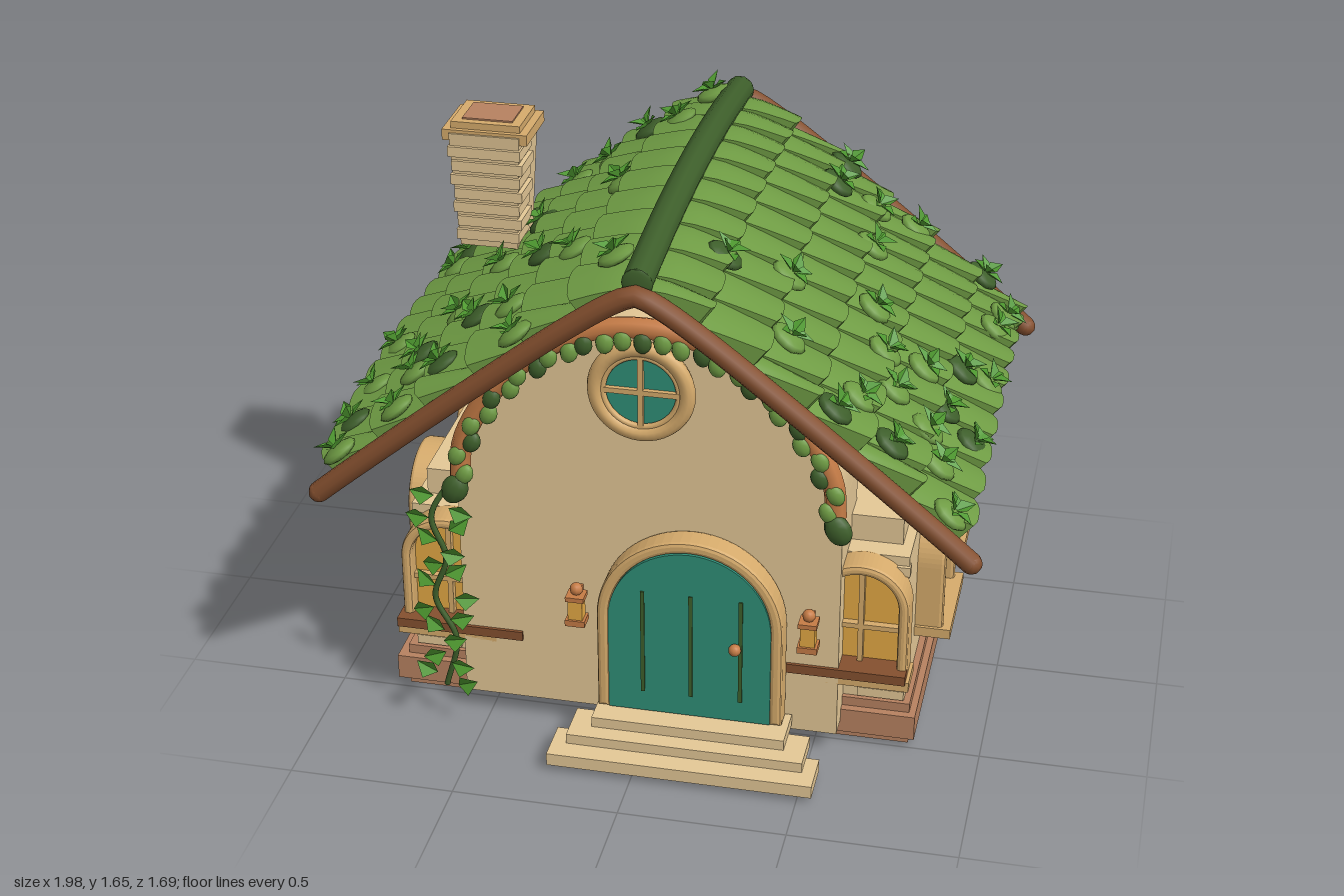
import * as THREE from 'three';
import { mergeGeometries } from 'three/addons/utils/BufferGeometryUtils.js';

const mat = (name, color, side = THREE.FrontSide) => {
  const m = new THREE.MeshStandardMaterial({ color, side });
  m.name = name;
  return m;
};

export function createModel() {
  const wall = mat('plaster', 0xe4c896), tan = mat('light wood', 0xd6ab6c), brown = mat('dark wood', 0x85502f);
  const clay = mat('clay base', 0xb78260), teal = mat('teal paint', 0x2f8f78), amber = mat('amber glass', 0xe4a944);
  const tileGreen = mat('tile green', 0x6f9c44), moss = mat('moss green', 0x3e5f2b);
  const leafGreen = mat('leaf green', 0x4f9a30, THREE.DoubleSide), copper = mat('copper', 0xc67c46);

  const root = new THREE.Group();
  root.name = 'cottage';
  const add = (name, geo, m, x = 0, y = 0, z = 0, parent = root) => {
    const mesh = new THREE.Mesh(geo, m);
    mesh.name = name;
    mesh.position.set(x, y, z);
    parent.add(mesh);
    return mesh;
  };
  // box given by its min and max on each axis
  const block = (name, m, x0, x1, y0, y1, z0, z1, parent = root) =>
    add(name, new THREE.BoxGeometry(x1 - x0, y1 - y0, z1 - z0), m, (x0 + x1) / 2, (y0 + y1) / 2, (z0 + z1) / 2, parent);
  const extrude = (shape, depth, bevel = 0) => new THREE.ExtrudeGeometry(shape, {
    depth, curveSegments: 16, bevelEnabled: bevel > 0, bevelSize: bevel, bevelThickness: bevel, bevelOffset: -bevel, bevelSegments: 2 });
  const v3 = (x, y, z = 0) => new THREE.Vector3(x, y, z);
  const tube = (pts, r, n = 40) => new THREE.TubeGeometry(new THREE.CatmullRomCurve3(pts), n, r, 10);

  // arched panel and arched band
  const arch = (w, y0, ys) => {
    const s = new THREE.Shape();
    s.moveTo(-w, y0); s.lineTo(w, y0); s.lineTo(w, ys); s.absarc(0, ys, w, 0, Math.PI);
    return s;
  };
  const archBand = (o, i, y0, ys) => {
    const s = new THREE.Shape();
    s.moveTo(-o, y0); s.lineTo(-i, y0); s.lineTo(-i, ys);
    s.absarc(0, ys, i, Math.PI, 0, true);
    s.lineTo(i, y0); s.lineTo(o, y0); s.lineTo(o, ys);
    s.absarc(0, ys, o, 0, Math.PI);
    return s;
  };

  // foundation and walls
  block('foundation', clay, -0.79, 0.78, 0, 0.14, -0.585, 0.475);
  block('foundationBand', clay, -0.82, 0.8, 0.03, 0.11, -0.61, 0.5);
  block('walls', wall, -0.76, 0.76, 0.14, 0.645, -0.575, 0.46);
  block('upperWalls', wall, -0.73, 0.73, 0.14, 0.73, -0.55, 0.39);

  // roof profile: right half from ridge to eave, raised toward mid length
  const zc = -0.055, half = 0.735;
  const lift = z => 0.045 * (1 - ((z - zc) / half) ** 2);
  const profPts = [[0, 1.525], [0.06, 1.5], [0.2, 1.405], [0.4, 1.25], [0.6, 1.09], [0.8, 0.925], [0.91, 0.833], [0.96, 0.79]];
  const prof = new THREE.CatmullRomCurve3(profPts.map(p => v3(...p)));
  const onRoof = (t, h) => {
    const p = prof.getPointAt(t), d = prof.getTangentAt(t);
    return { x: p.x - d.y * h, y: p.y + d.x * h, n: v3(-d.y, d.x) };
  };
  const outline = (xMax, drop) => [...profPts.filter(p => p[0] <= xMax).map(p => [-p[0], p[1] - drop]).reverse(),
    ...profPts.slice(1).filter(p => p[0] <= xMax).map(p => [p[0], p[1] - drop])];

  // back gable
  const g = new THREE.Shape();
  [[-0.76, 0.68], [0.76, 0.68], [0.79, 0.91], ...outline(0.7, 0.015).reverse(), [-0.79, 0.91]]
    .forEach((p, i) => i ? g.lineTo(...p) : g.moveTo(...p));
  add('backGable', extrude(g, 0.03), wall, 0, 0, -0.577);

  // rounded front bay
  const bayTop = [[0.575, 0.85], [0.565, 0.96], [0.51, 1.08], [0.41, 1.21], [0.27, 1.32], [0.13, 1.38], [0, 1.395]];
  const bayArc = [...bayTop, ...bayTop.slice(0, -1).reverse().map(([x, y]) => [-x, y])];
  const bay = new THREE.Shape();
  bay.moveTo(-0.575, 0.07);
  bay.lineTo(0.575, 0.07);
  bay.lineTo(...bayArc[0]);
  bay.splineThru(bayArc.slice(1).map(p => new THREE.Vector2(...p)));
  add('frontBay', extrude(bay, 0.275), wall, 0, 0, 0.3);

  // roof deck
  const deckShape = new THREE.Shape();
  [...outline(0.92, 0.02), ...outline(0.92, -0.012).reverse()].forEach((p, i) => i ? deckShape.lineTo(...p) : deckShape.moveTo(...p));
  const deck = new THREE.ExtrudeGeometry(deckShape, { depth: half * 2, steps: 12, bevelEnabled: false }).translate(0, 0, zc - half);
  const dp = deck.attributes.position;
  for (let i = 0; i < dp.count; i++) dp.setY(i, dp.getY(i) + lift(dp.getZ(i)));
  deck.computeVertexNormals();
  add('roofDeck', deck, moss);

  // pillow shaped tiles in six staggered rows, each rolled slightly
  const L = prof.getLength(), rows = 6, pitch = L * 0.945 / rows, zw = half * 2 / 9.5;
  const tile = (row, z0, z1) => {
    const geo = new THREE.BoxGeometry(1, 1, 1, 5, 1, 6), p = geo.attributes.position;
    for (let i = 0; i < p.count; i++) {
      const u = p.getX(i) + 0.5, v = p.getZ(i) * 2, edge = v ** 6;
      const d = pitch * (row + u * (1.06 - 0.05 * edge)) - pitch * 0.06;
      const top = 0.015 + 0.06 * u + 0.012 * (1 - v * v) + 0.012 * v * u;
      const q = onRoof(Math.max(d / L, 0), p.getY(i) > 0 ? top : 0.005);
      const z = (z0 + z1) / 2 + v * (z1 - z0) * 0.49;
      p.setXYZ(i, q.x, q.y + lift(z), z);
    }
    geo.computeVertexNormals();
    return geo;
  };
  const tiles = [];
  for (let r = 0; r < rows; r++) {
    for (let k = 0; k < 10; k++) {
      const a = zc - half + (r % 2 ? k - 0.5 : k) * zw;
      tiles.push(tile(r, Math.max(a, zc - half), Math.min(a + zw, zc + half)));
    }
  }
  const tileGeo = mergeGeometries(tiles);
  add('rightTiles', tileGeo, tileGreen);
  add('leftTiles', tileGeo, tileGreen, 0, 0, 2 * zc).rotation.y = Math.PI;

  // ridge cap and verge beams
  const ridge = [-1, -0.5, 0, 0.5, 1].map(k => v3(0, 1.562 + lift(zc + k * half), zc + k * half));
  add('ridgeCap', tube(ridge, 0.045), moss);
  for (const s of [-1, 1]) add('ridgeEnd', new THREE.SphereGeometry(0.045, 10, 8), moss, 0, 1.562, zc + s * half).scale.z = 0.2;
  const beam = outline(1, 0).map(p => v3(...p));
  for (const z of [0.702, -0.815]) {
    add('vergeBeam', tube(beam, 0.032, 60), brown, 0, 0.008, z);
    for (const s of [-1, 1]) add('beamEnd', new THREE.SphereGeometry(0.032, 10, 8), brown, 0.96 * s, 0.798, z);
  }

  // folded leaf, sprout and moss clumps
  const leaf = (len, w) => {
    const geo = new THREE.BufferGeometry();
    geo.setAttribute('position', new THREE.Float32BufferAttribute(
      [0, 0, 0, len * 0.45, w * 0.3, w / 2, len, 0, 0, 0, 0, 0, len, 0, 0, len * 0.45, w * 0.3, -w / 2], 3));
    geo.computeVertexNormals();
    return geo;
  };
  const sprout = mergeGeometries([0, 1, 2, 3, 4].map(i =>
    leaf(0.068, 0.042).rotateZ(i % 2 ? 0.75 : 0.3).rotateY(i * 1.257)));
  const pad = new THREE.SphereGeometry(0.06, 12, 6).scale(1, 0.36, 0.88);
  const spots = [-89, -70, -72, -72, -90, -55, -64, -53, -48, -60, -35, -56, -26, -70, -13, -53, -7, -70, -51, -28, -92, 5,
    -58, -5, -40, 13, -21, -11, -90, 32, -74, 32, -65, 19, -72, 45, -56, 32, -42, 43, -26, 29, -91, 51, -90, 67, -72, 64,
    -61, 53, -34, 67, -9, 53, 35, -71, 47, -57, 59, -67, 81, -75, 89, -45, 94, -59, 35, -52, 50, -30, 56, 4, 83, -3, 94, -8,
    33, 23, 17, 37, 62, 21, 73, 13, 81, 24, 67, 35, 78, 40, 91, 29, 38, 51, 59, 51, 70, 59, 83, 51, 89, 67, 54, 64];
  for (let i = 0; i < spots.length; i += 2) {
    const x = spots[i] / 100, z = spots[i + 1] / 100, s = Math.sign(x);
    const q = onRoof(Math.min(Math.abs(x) / 0.97 - 0.035, 0.9), 0.062);
    const clump = new THREE.Group();
    clump.name = 'mossClump';
    clump.position.set(q.x * s, q.y + lift(z), z);
    clump.quaternion.setFromUnitVectors(v3(0, 1), v3(q.n.x * s, q.n.y).normalize());
    add('mossPad', pad, i % 3 ? tileGreen : moss, 0, 0, 0, clump);
    add('sprout', sprout, leafGreen, 0, 0.014, 0, clump).rotation.y = i;
    root.add(clump);
  }

  // chimney with stone courses on its front
  const stack = new THREE.CylinderGeometry(0.112 * Math.SQRT2, 0.092 * Math.SQRT2, 0.38, 4).rotateY(Math.PI / 4).toNonIndexed();
  stack.computeVertexNormals();
  add('chimney', stack, wall, -0.68, 1.4, -0.285);
  for (let i = 0; i < 7; i++) {
    const w = 0.098 + i * 0.0025, dx = i % 2 ? 0.006 : -0.002;
    block('chimneyCourse', wall, -0.68 - w + dx, -0.675 + w + dx, 1.235 + i * 0.047, 1.268 + i * 0.047, -0.3, -0.277 + w);
  }
  block('chimneyCap', tan, -0.815, -0.545, 1.565, 1.6, -0.39, -0.18);
  block('chimneyRim', tan, -0.79, -0.57, 1.6, 1.622, -0.375, -0.195);
  block('chimneyFlue', clay, -0.76, -0.6, 1.62, 1.627, -0.35, -0.22);

  // arched windows
  const addWindow = (x, z, turn, hw, y0, top, depth) => {
    const w = new THREE.Group(), ys = top - hw;
    w.name = 'archedWindow';
    add('frame', extrude(archBand(hw, hw - 0.032, y0, ys), depth - 0.012, 0.012), tan, 0, 0, 0, w);
    add('glass', extrude(arch(hw - 0.03, y0, ys), depth * 0.45), amber, 0, 0, 0, w);
    block('mullion', tan, -0.008, 0.008, y0, top - 0.03, 0, depth * 0.7, w);
    block('crossbar', tan, 0.03 - hw, hw - 0.03, ys - 0.085, ys - 0.069, 0, depth * 0.7, w);
    block('sill', tan, -hw - 0.01, hw + 0.01, y0 - 0.02, y0 + 0.012, 0, depth + 0.025, w);
    w.position.set(x, 0, z);
    w.rotation.y = turn;
    root.add(w);
  };
  for (const s of [-1, 1]) {
    addWindow(s * 0.76, 0.095, s * Math.PI / 2, 0.16, 0.27, 0.65, 0.085);
    addWindow(s * 0.76, -0.36, s * Math.PI / 2, 0.14, 0.285, 0.63, 0.07);
    addWindow(s * 0.45, -0.575, Math.PI, 0.17, 0.285, 0.635, 0.06);
    addWindow(s * 0.63, 0.46, 0, 0.145, 0.27, 0.65, 0.09);
  }

  // round window
  const round = new THREE.Group();
  round.name = 'roundWindow';
  round.position.set(-0.01, 1.185, 0.575);
  root.add(round);
  add('roundGlass', new THREE.CylinderGeometry(0.12, 0.12, 0.03, 32).rotateX(Math.PI / 2), teal, 0, 0, 0.01, round);
  add('roundFrame', new THREE.TorusGeometry(0.135, 0.024, 10, 40), tan, 0, 0, 0.025, round);
  add('innerRing', new THREE.TorusGeometry(0.112, 0.01, 8, 40), tan, 0, 0, 0.03, round);
  block('roundMullion', tan, -0.008, 0.008, -0.115, 0.115, 0, 0.04, round);
  block('roundCrossbar', tan, -0.115, 0.115, -0.008, 0.008, 0, 0.04, round);

  // door and steps
  add('door', extrude(arch(0.245, 0.13, 0.445), 0.08), teal, 0.14, 0, 0.575);
  add('doorFrame', extrude(archBand(0.28, 0.243, 0.13, 0.45), 0.06, 0.012), tan, 0.14, 0, 0.587);
  for (const x of [0, 0.145, 0.295]) block('doorGroove', moss, x - 0.006, x + 0.006, 0.2, 0.55, 0.652, 0.659);
  add('doorKnob', new THREE.SphereGeometry(0.019, 12, 8), copper, 0.28, 0.39, 0.668);
  [[-0.255, 0.545, 0.02, 0.06, 0.84], [-0.21, 0.505, 0.055, 0.092, 0.775], [-0.145, 0.44, 0.088, 0.125, 0.72]]
    .forEach(([x0, x1, y0, y1, z]) => block('step', wall, x0, x1, y0, y1, z - 0.14, z));

  // lanterns and shelves
  for (const x of [-0.21, 0.49]) {
    block('lanternBack', copper, x - 0.012, x + 0.012, 0.4, 0.5, 0.57, 0.6);
    block('lanternBase', copper, x - 0.03, x + 0.03, 0.39, 0.41, 0.59, 0.645);
    block('lanternGlass', amber, x - 0.022, x + 0.022, 0.41, 0.475, 0.598, 0.638);
    block('lanternLid', copper, x - 0.028, x + 0.028, 0.475, 0.49, 0.59, 0.645);
    add('lanternTop', new THREE.SphereGeometry(0.02, 10, 8), copper, x, 0.506, 0.615);
  }
  block('leftShelf', brown, -0.785, -0.39, 0.277, 0.307, 0.5, 0.585);
  block('rightShelf', brown, 0.42, 0.775, 0.277, 0.307, 0.5, 0.585);

  // garland over the bay
  const arc = new THREE.CatmullRomCurve3(bayArc.map(([x, y]) => v3(x * 0.97, y - 0.01, 0.6)));
  add('garlandArch', new THREE.TubeGeometry(arc, 50, 0.032, 8), copper);
  const bud = new THREE.SphereGeometry(0.028, 10, 8).scale(0.95, 1.2, 0.7);
  for (let i = 0; i <= 30; i++) {
    const p = arc.getPointAt(i / 30), out = i % 2 ? 0.03 : -0.02;
    const m = add('garlandLeaf', bud, i % 3 ? tileGreen : moss, p.x * (1 - out), p.y - 0.02 - Math.abs(out) * 0.5, 0.622);
    m.rotation.z = p.x * 0.8;
    if (i === 0 || i === 30) m.scale.setScalar(1.5);
  }

  // climbing vine
  add('vineStem', tube([v3(-0.57, 0.85, 0.61), v3(-0.64, 0.72, 0.64), v3(-0.6, 0.58, 0.64), v3(-0.64, 0.44, 0.64),
    v3(-0.58, 0.3, 0.64), v3(-0.62, 0.12, 0.63)], 0.009), moss);
  const vineLeaf = leaf(0.075, 0.065).rotateX(Math.PI / 2);
  for (let i = 0; i < 18; i++) {
    const side = i % 2 ? 1 : -1;
    const m = add('vineLeaf', vineLeaf, leafGreen, -0.61 + side * 0.014 + 0.02 * Math.sin(i * 2.3), 0.8 - i * 0.039, 0.655);
    m.rotation.z = (side > 0 ? 0.15 : Math.PI - 0.15) - 0.5 * Math.sin(i * 1.7);
    m.rotation.y = 0.3 * Math.sin(i * 2.9);
  }

  // exposed bricks on the back wall and corners
  for (const [x, y] of [[0.08, 0.56], [0.0, 0.52], [0.13, 0.5], [-0.06, 0.57], [-0.66, 0.57], [0.69, 0.2], [-0.67, 0.52]])
    block('brick', wall, x - 0.045, x + 0.045, y - 0.018, y + 0.018, -0.588, -0.56);
  for (const s of [-1, 1]) for (const y of [0.2, 0.33, 0.46, 0.6]) {
    block('frontCornerBrick', wall, s * 0.73 - 0.034, s * 0.73 + 0.034, y - 0.015, y + 0.015, 0.44, 0.472);
    block('backCornerBrick', wall, s * 0.73 - 0.034, s * 0.73 + 0.034, y - 0.015, y + 0.015, -0.586, -0.555);
    block('lowBrick', wall, s * 0.69 - 0.07, s * 0.69 + 0.07, 0.15, 0.18, 0.45, 0.475);
  }
  return root;
}
